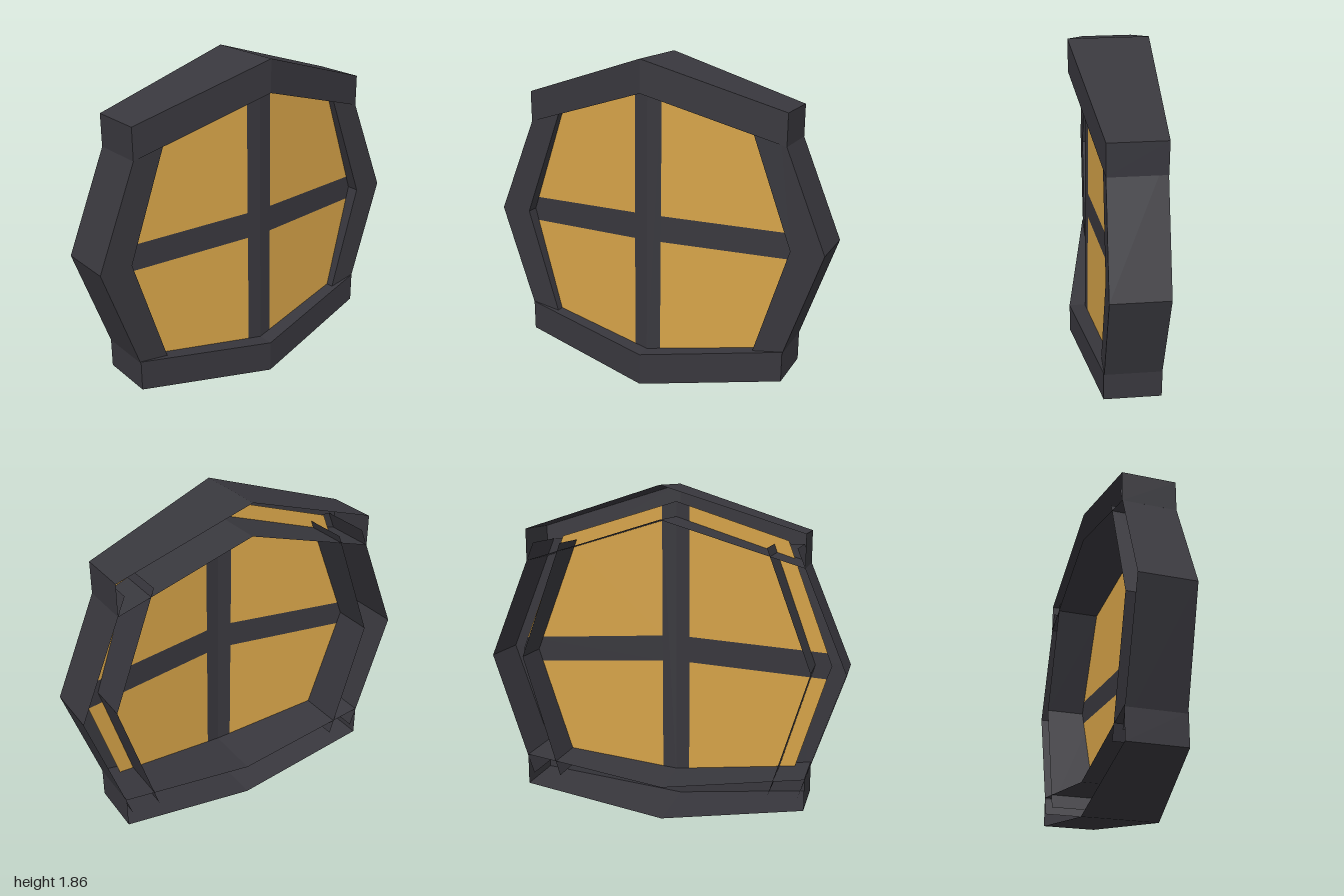
import * as THREE from 'three';

const frameMat = new THREE.MeshStandardMaterial({ name: 'charcoal frame', color: 0x38373d, side: THREE.DoubleSide });
const glassMat = new THREE.MeshStandardMaterial({ name: 'amber glass', color: 0xd6a348, side: THREE.DoubleSide });

// Open-backed channel swept through sections [outer x, outer y, inner x, inner y, front z, back z]
function channel(name, sections, capped) {
  const rings = sections.map(([ox, oy, ix, iy, f, b]) =>
    [[ox, oy, b], [ox, oy, f], [ix, iy, f], [ix, iy, b]]);
  const pos = [];
  const quad = (a, b, c, d) => pos.push(...a, ...b, ...c, ...a, ...c, ...d);
  for (let i = 0; i < rings.length - 1; i++) {
    const p = rings[i], q = rings[i + 1];
    for (let k = 0; k < 3; k++) quad(p[k], p[k + 1], q[k + 1], q[k]);
  }
  if (capped) {
    const last = rings[rings.length - 1];
    quad(rings[0][3], rings[0][2], rings[0][1], rings[0][0]);
    quad(last[0], last[1], last[2], last[3]);
  }
  const g = new THREE.BufferGeometry();
  g.setAttribute('position', new THREE.Float32BufferAttribute(pos, 3));
  g.computeVertexNormals();
  const mesh = new THREE.Mesh(g, frameMat);
  mesh.name = name;
  return mesh;
}

// Flat outline folded back from the centre line
function pane(name, points, side, material) {
  const shape = new THREE.Shape(points.map(([x, y]) => new THREE.Vector2(x * side, y)));
  const g = new THREE.ShapeGeometry(shape);
  const p = g.attributes.position;
  for (let i = 0; i < p.count; i++) {
    p.setZ(i, 0.124 - 0.14 * Math.abs(p.getX(i)) - 0.012 * (p.getY(i) - 0.9));
  }
  g.computeVertexNormals();
  const mesh = new THREE.Mesh(g, material);
  mesh.name = name;
  return mesh;
}

export function createModel() {
  const model = new THREE.Group();
  model.name = 'window';

  // Peaked beams at top and bottom; listed so that outer faces point outwards
  model.add(channel('topBeam', [
    [-0.77, 1.625, -0.77, 1.45, 0.075, -0.22],
    [0, 1.865, 0, 1.685, 0.203, -0.22],
    [0.77, 1.625, 0.77, 1.45, 0.075, -0.22],
  ], true));
  model.add(channel('bottomBeam', [
    [0.8, 0.145, 0.8, 0.32, 0.09, -0.22],
    [0, 0.005, 0, 0.19, 0.225, -0.203],
    [-0.8, 0.145, -0.8, 0.32, 0.09, -0.22],
  ], true));

  for (const s of [1, -1]) {
    const label = s > 0 ? 'left' : 'right';

    // Bent side beam, its ends running inside the top and bottom beams
    const sections = [
      [0.728 * s, 1.55, 0.571 * s, 1.55, 0.074, -0.219],
      [1.0 * s, 0.9, 0.815 * s, 0.9, 0.081, -0.219],
      [0.766 * s, 0.21, 0.604 * s, 0.21, 0.088, -0.219],
    ];
    model.add(channel(label + 'SideBeam', s > 0 ? sections : sections.reverse(), false));

    // Folded glass with its dividing bars
    model.add(pane(label + 'UpperGlass',
      [[0.08, 1.0], [0.88, 0.971], [0.65, 1.57], [0.08, 1.745]], s, glassMat));
    model.add(pane(label + 'LowerGlass',
      [[0.08, 0.85], [0.08, 0.11], [0.69, 0.215], [0.88, 0.826]], s, glassMat));
    model.add(pane(label + 'CrossBar',
      [[0.08, 0.85], [0.88, 0.826], [0.907, 0.9], [0.88, 0.971], [0.08, 1.0]], s, frameMat));
    model.add(pane(label + 'Mullion',
      [[0, 0.0975], [0.08, 0.11], [0.08, 1.745], [0, 1.77]], s, frameMat));
  }
  return model;
}
